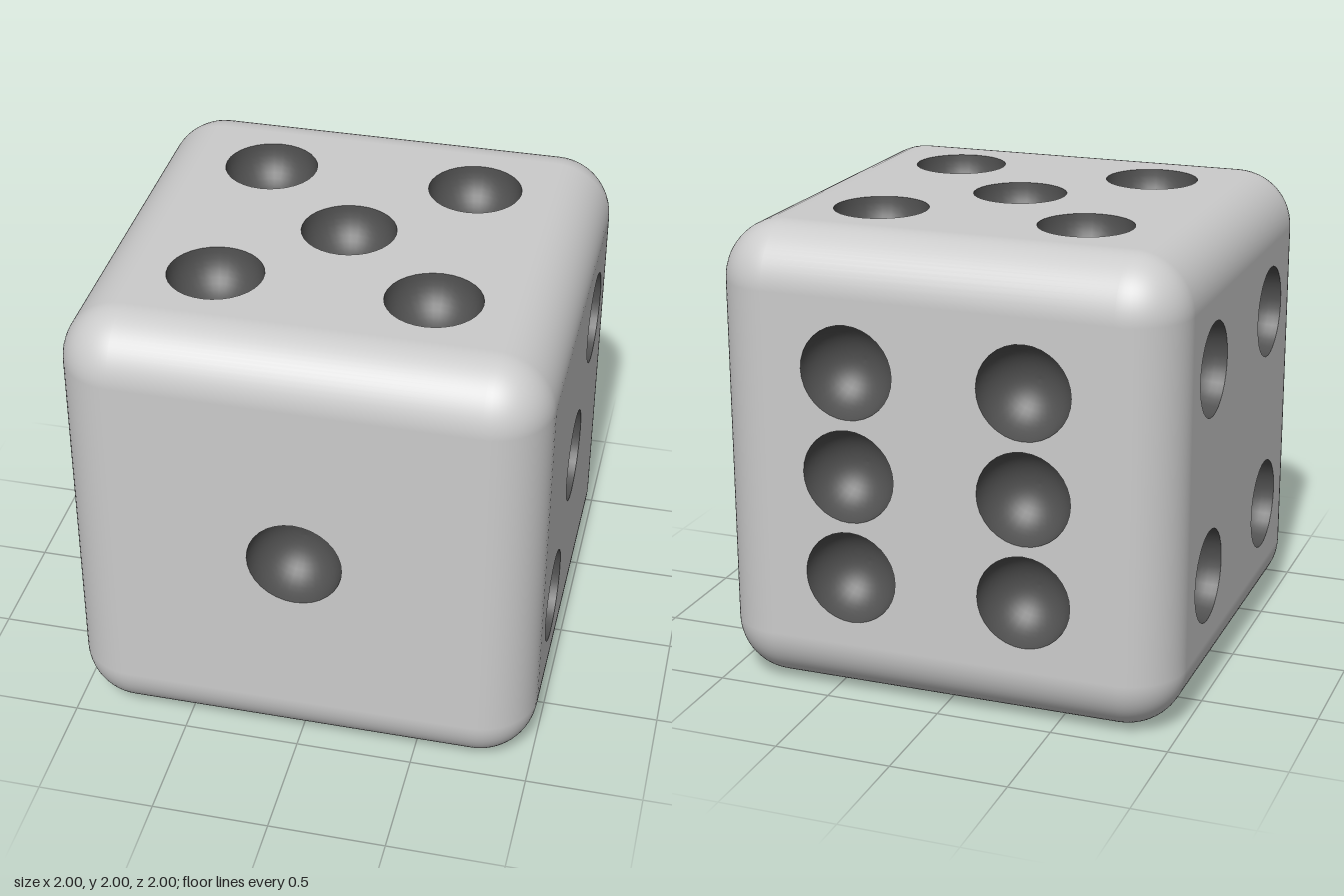
import * as THREE from 'three';
import { RoundedBoxGeometry } from 'three/addons/geometries/RoundedBoxGeometry.js';

const EDGE = 0.25; // radius of the rounded edges
const PIP = 0.2; // radius of a pip
const FLAT = 1 - EDGE; // half width of a flat face
const SEGMENTS = 32;

// Rounded box with the six flat faces left out, so pitted panels can fill them
function roundedFrame() {
  const box = new RoundedBoxGeometry(2, 2, 2, 8, EDGE);
  const source = box.index ? box.toNonIndexed() : box;
  const pos = source.attributes.position;
  const nor = source.attributes.normal;
  const points = [], normals = [];
  for (let i = 0; i < pos.count; i += 3) {
    const onFace = [0, 1, 2].some((axis) =>
      [0, 1, 2].every((k) => Math.abs(pos.getComponent(i + k, axis)) > 0.9999));
    if (onFace) continue;
    for (let k = i; k < i + 3; k++) {
      points.push(pos.getX(k), pos.getY(k), pos.getZ(k));
      normals.push(nor.getX(k), nor.getY(k), nor.getZ(k));
    }
  }
  const frame = new THREE.BufferGeometry();
  frame.setAttribute('position', new THREE.Float32BufferAttribute(points, 3));
  frame.setAttribute('normal', new THREE.Float32BufferAttribute(normals, 3));
  return frame;
}

// Flat square with a round hole for every pip
function panelGeometry(pips) {
  const shape = new THREE.Shape([
    new THREE.Vector2(-FLAT, -FLAT), new THREE.Vector2(FLAT, -FLAT),
    new THREE.Vector2(FLAT, FLAT), new THREE.Vector2(-FLAT, FLAT),
  ]);
  for (const [x, y] of pips) {
    shape.holes.push(new THREE.Path().absarc(x, y, PIP, 0, Math.PI * 2, true));
  }
  return new THREE.ShapeGeometry(shape, SEGMENTS / 2);
}

// Hollow hemisphere opening towards +z
function pipGeometry() {
  const profile = [];
  for (let i = 0; i <= 12; i++) {
    const a = (i / 12) * Math.PI / 2;
    profile.push(new THREE.Vector2(i === 12 ? 0 : PIP * Math.cos(a), -PIP * Math.sin(a)));
  }
  return new THREE.LatheGeometry(profile, SEGMENTS).rotateX(Math.PI / 2);
}

export function createModel() {
  const model = new THREE.Group();
  model.name = 'die';
  const bodyMaterial = new THREE.MeshStandardMaterial({ color: 0xcccccc });
  const pipMaterial = new THREE.MeshStandardMaterial({ color: 0x505050 });

  const frame = new THREE.Mesh(roundedFrame(), bodyMaterial);
  frame.name = 'roundedEdges';
  frame.position.y = 1;
  model.add(frame);

  // Pip layouts in each face's own plane
  const four = [[-0.45, -0.45], [0.45, -0.45], [-0.45, 0.45], [0.45, 0.45]];
  const six = [-0.38, 0.38].flatMap((x) => [-0.444, 0, 0.444].map((y) => [x, y]));
  const quarter = Math.PI / 2;
  const faces = [
    ['front', 0, 0, [[0, 0]]],
    ['back', 0, Math.PI, six],
    ['left', 0, quarter, [[-0.435, -0.435], [0, 0], [0.435, 0.435]]],
    ['right', 0, -quarter, four],
    ['top', -quarter, 0, [...four, [0, 0]]],
    ['bottom', quarter, 0, [[-0.4, -0.4], [0.4, 0.4]]],
  ];

  const pit = pipGeometry();
  for (const [name, rx, ry, pips] of faces) {
    const face = new THREE.Group();
    face.name = name + 'Face';
    face.position.y = 1;
    face.rotation.set(rx, ry, 0);

    const panel = new THREE.Mesh(panelGeometry(pips), bodyMaterial);
    panel.name = name + 'Panel';
    panel.position.z = 1;
    face.add(panel);

    for (const [x, y] of pips) {
      const pip = new THREE.Mesh(pit, pipMaterial);
      pip.name = name + 'Pip';
      pip.position.set(x, y, 1);
      face.add(pip);
    }
    model.add(face);
  }
  return model;
}
